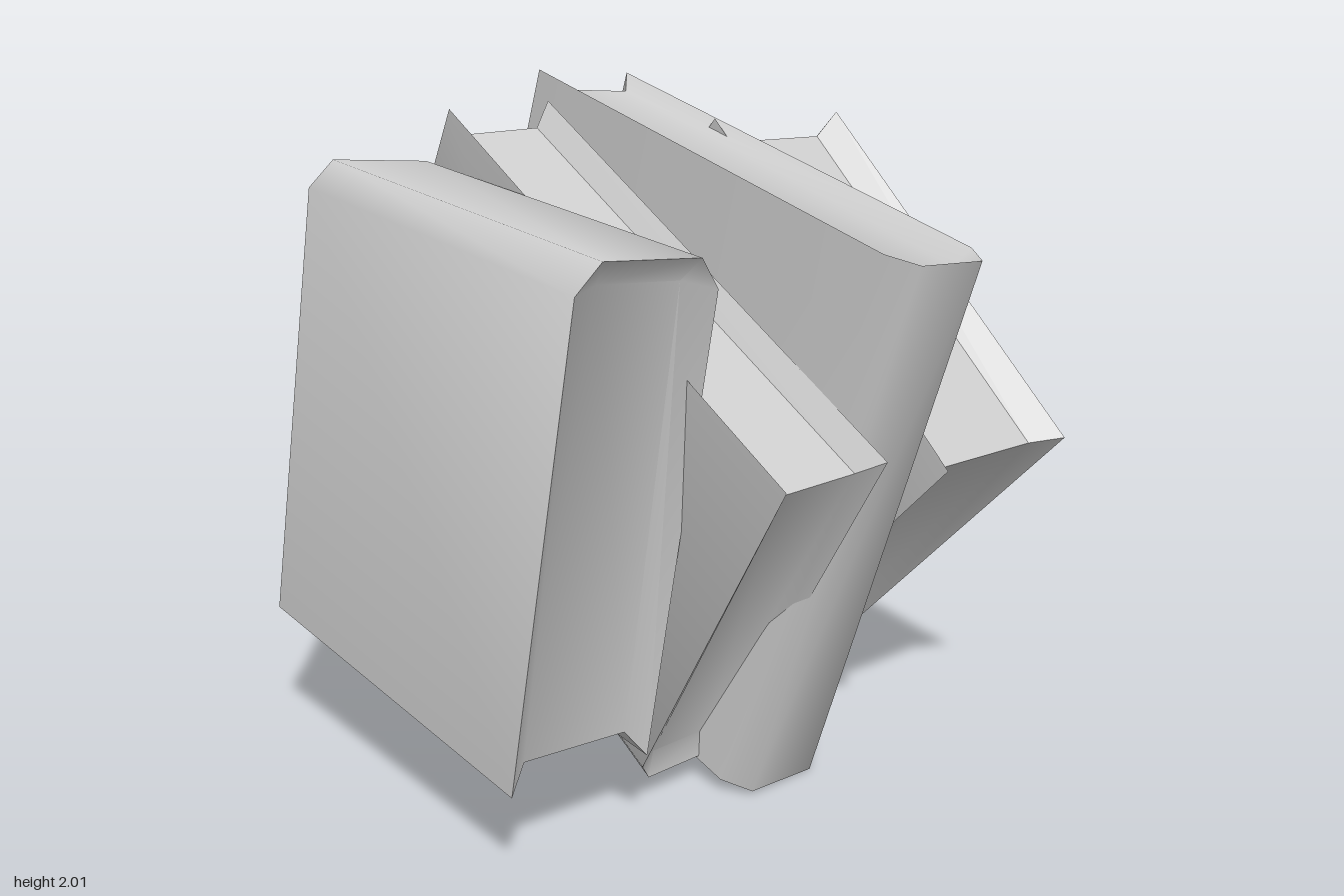
import * as THREE from 'three';
import { toCreasedNormals } from 'three/addons/utils/BufferGeometryUtils.js';

const material = new THREE.MeshStandardMaterial({ color: 0xcccccc });

// Collects quads (or triangles, when the last two corners coincide).
function surface() {
  const pos = [];
  return {
    quad(a, b, c, d, flip = false) {
      if (flip) [a, b, c, d] = [d, c, b, a];
      for (const [p, q, r] of [[a, b, c], [a, c, d]]) {
        if (p !== q && q !== r && r !== p) pos.push(...p, ...q, ...r);
      }
    },
    mesh(name, crease) {
      const geo = new THREE.BufferGeometry();
      geo.setAttribute('position', new THREE.Float32BufferAttribute(pos, 3));
      const mesh = new THREE.Mesh(toCreasedNormals(geo, crease), material);
      mesh.name = name;
      return mesh;
    },
  };
}

// Book in its own frame: +x towards the spine, y along the spine, z through the covers.
function createBook({ name, depth, height, thick }) {
  const h = depth / 2, V = height / 2, T = thick / 2;
  const chamfer = 0.08, chamferT = thick * 0.155;
  const inset = 0.065, lip = thick * 0.13, recess = 0.04;

  const profile = [
    [-h, T], [h - chamfer, T], [h, T - chamferT],
    [h, chamferT - T], [h - chamfer, -T], [-h, -T],
  ];
  const pageProfile = [
    [inset - h, T - lip], [h - inset, T - thick * 0.21],
    [h - inset, thick * 0.21 - T], [inset - h, lip - T],
  ];
  const ring = (pts, y) => pts.map(([x, z]) => [x, y, z]);
  const outer = { '-1': ring(profile, -V), 1: ring(profile, V) };
  const inner = { '-1': ring(pageProfile, recess - V), 1: ring(pageProfile, V - recess) };

  // Covers and chamfered spine
  const cover = surface();
  for (let i = 0; i < 5; i++) {
    cover.quad(outer[-1][i], outer[-1][i + 1], outer[1][i + 1], outer[1][i]);
  }

  // Sunken page ends at the head and tail
  const pages = surface();
  const match = [0, 1, 1, 2, 2, 3];
  for (const s of [-1, 1]) {
    const o = outer[s], n = inner[s], flip = s < 0;
    for (let i = 0; i < 5; i++) {
      pages.quad(o[i], o[i + 1], n[match[i + 1]], n[match[i]], flip);
    }
    pages.quad(n[0], n[1], n[2], n[3], flip);
  }

  // Fore-edge of the pages with the bevelled cover lips
  const edge = (g, i) => [g[-1][i], g[1][i]];
  const strips = [edge(outer, 5), edge(inner, 3), edge(inner, 0), edge(outer, 0)];
  for (let i = 0; i < 3; i++) {
    const [a, d] = strips[i], [b, c] = strips[i + 1];
    pages.quad(a, b, c, d);
  }

  const book = new THREE.Group();
  book.name = name;
  book.add(cover.mesh('cover', 1.05), pages.mesh('pages', 0.75));
  return book;
}

// angle: direction of the spine in the xy plane; leanU, leanV: z slope along each axis
const books = [
  { name: 'frontBook', depth: 1.37, height: 1.21, thick: 0.45, at: [0, 1.0, 0.578], angle: 82.9, leanU: -0.07, leanV: 0 },
  { name: 'secondBook', depth: 1.18, height: 1.6, thick: 0.35, at: [-0.01, 0.985, 0.172], angle: 238.9, leanU: -0.04, leanV: 0 },
  { name: 'thirdBook', depth: 1.52, height: 1.63, thick: 0.35, at: [0.04, 0.995, -0.135], angle: -16.4, leanU: 0, leanV: -0.05 },
  { name: 'backBook', depth: 1.2, height: 1.28, thick: 0.53, at: [0.03, 0.985, -0.585], angle: 226.3, leanU: 0, leanV: 0 },
];

export function createModel() {
  const model = new THREE.Group();
  model.name = 'bookStack';
  for (const spec of books) {
    const book = createBook(spec);
    const a = THREE.MathUtils.degToRad(spec.angle);
    const u = new THREE.Vector3(Math.cos(a), Math.sin(a), spec.leanU).normalize();
    const v = new THREE.Vector3(-Math.sin(a), Math.cos(a), spec.leanV).normalize();
    const n = new THREE.Vector3().crossVectors(u, v).normalize();
    book.quaternion.setFromRotationMatrix(new THREE.Matrix4().makeBasis(u, v, n));
    book.position.set(...spec.at);
    model.add(book);
  }
  return model;
}
